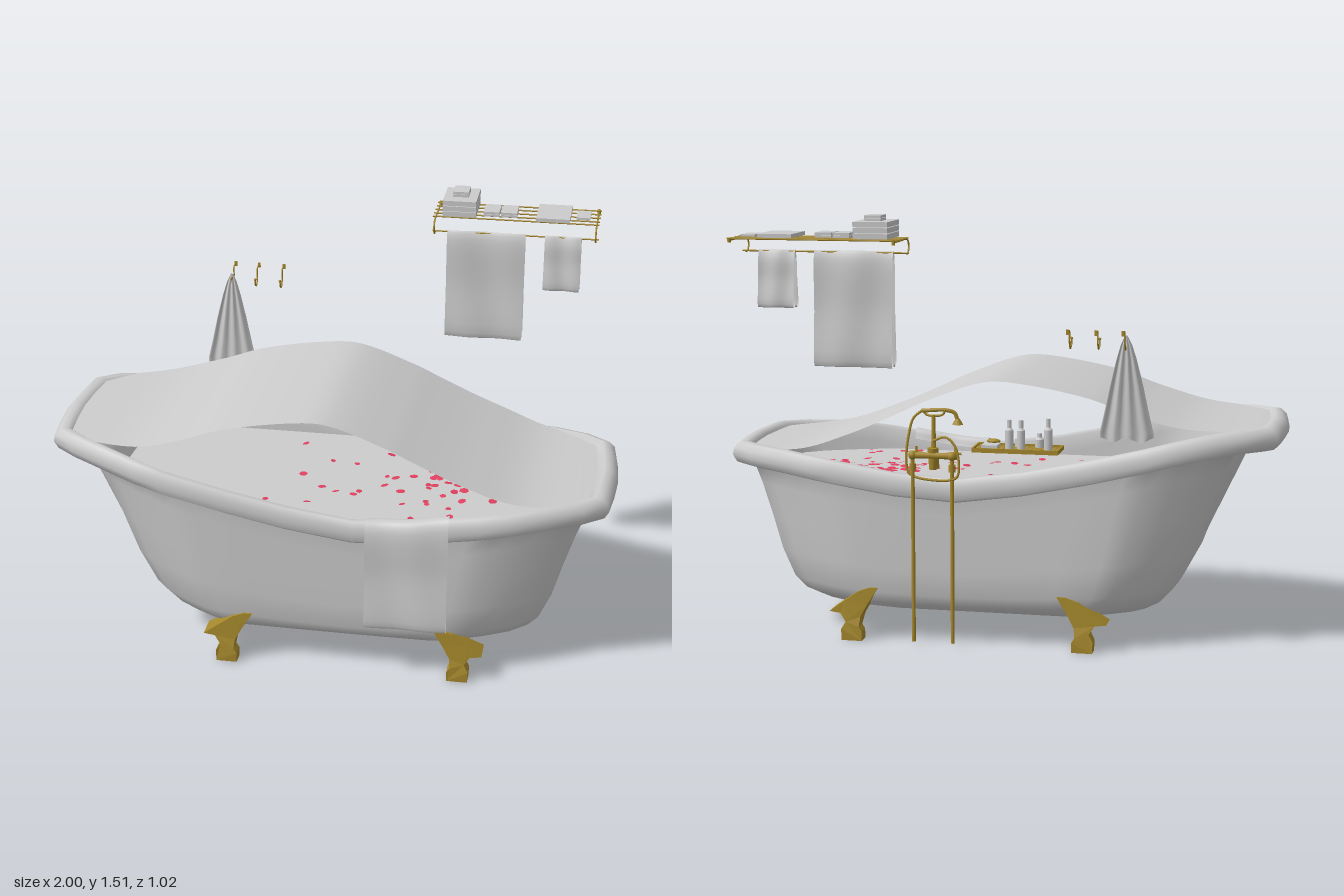
import * as THREE from 'three';
import { mergeGeometries } from 'three/addons/utils/BufferGeometryUtils.js';

const ZC = 0.07; // tub centre line

// Smooth interpolation of y over a table of [x, y] points
function interp(tab, x) {
  const n = tab.length;
  x = Math.min(Math.max(x, tab[0][0]), tab[n - 1][0]);
  let i = 0;
  while (i < n - 2 && x > tab[i + 1][0]) i++;
  const slope = k => {
    const a = tab[Math.max(k - 1, 0)], b = tab[Math.min(k + 1, n - 1)];
    return (b[1] - a[1]) / (b[0] - a[0]);
  };
  const h = tab[i + 1][0] - tab[i][0], t = (x - tab[i][0]) / h, t2 = t * t, t3 = t2 * t;
  return (2 * t3 - 3 * t2 + 1) * tab[i][1] + (t3 - 2 * t2 + t) * h * slope(i)
    + (3 * t2 - 2 * t3) * tab[i + 1][1] + (t3 - t2) * h * slope(i + 1);
}

// Height of the rolled rim along x, and height of the sheet over the tub
const rimTop = x => interp([[-1, 0.782], [-0.9, 0.78], [-0.7, 0.75], [-0.4, 0.68], [0, 0.604], [0.15, 0.592],
  [0.3, 0.6], [0.5, 0.63], [0.8, 0.663], [1, 0.67]], x);
const sheetTop = x => interp([[-0.95, 0.77], [-0.68, 0.785], [-0.5, 0.83], [-0.34, 0.885], [-0.1, 0.928], [0.03, 0.928],
  [0.235, 0.855], [0.33, 0.81], [0.5, 0.735], [0.7, 0.668], [0.95, 0.65]], x);

// Tub plan: one quarter mirrored into a closed outline
const Q = [[1, 0], [0.993, 0.3], [0.98, 0.58], [0.9, 0.73], [0.78, 0.86], [0.66, 0.96], [0.56, 1], [0.35, 1], [0.12, 1]];
const mirror = (sx, sz) => Q.map(([x, z]) => [x * sx, z * sz]);
const OUTLINE = [...mirror(1, 1), ...mirror(-1, 1).reverse(),
  ...mirror(-1, -1).slice(1), ...mirror(1, -1).reverse().slice(0, -1)];
const ring = (left, right, zh, yOf) => OUTLINE.map(([u, w]) =>
  [u * (u < 0 ? left : right), yOf(u), ZC + w * zh]);

// Skin a list of closed rings
function loft(rings) {
  const n = rings[0].length, idx = [];
  for (let i = 0; i < rings.length - 1; i++) for (let j = 0; j < n; j++) {
    const a = i * n + j, b = i * n + (j + 1) % n;
    idx.push(a, a + n, b, b, a + n, b + n);
  }
  const g = new THREE.BufferGeometry();
  g.setAttribute('position', new THREE.Float32BufferAttribute(rings.flat(2), 3));
  g.setIndex(idx);
  g.computeVertexNormals();
  return g;
}

export function createModel() {
  const model = new THREE.Group();
  const mat = (name, color, side = THREE.FrontSide) => {
    const m = new THREE.MeshStandardMaterial({ color, side });
    m.name = name;
    return m;
  };
  const porcelain = mat('porcelain', 0xcccccc, THREE.DoubleSide);
  const linen = mat('linen', 0xcbcbcb, THREE.DoubleSide);
  const brass = mat('brass', 0xa5882c);
  const pink = mat('petal pink', 0xe0405f, THREE.DoubleSide);

  const add = (name, geo, m, parent = model) => {
    const mesh = new THREE.Mesh(geo, m);
    mesh.name = name;
    parent.add(mesh);
    return mesh;
  };
  const group = name => {
    const g = new THREE.Group();
    g.name = name;
    model.add(g);
    return g;
  };
  const box = (name, x0, x1, y0, y1, z0, z1, m, parent) =>
    add(name, new THREE.BoxGeometry(x1 - x0, y1 - y0, z1 - z0), m, parent)
      .position.set((x0 + x1) / 2, (y0 + y1) / 2, (z0 + z1) / 2);
  const cyl = (name, r0, r1, y0, y1, x, z, m, parent) =>
    add(name, new THREE.CylinderGeometry(r1, r0, y1 - y0, 12), m, parent).position.set(x, (y0 + y1) / 2, z);
  const ball = (name, r, x, y, z, parent) =>
    add(name, new THREE.SphereGeometry(r, 10, 8), brass, parent).position.set(x, y, z);
  const tube = (name, pts, r, parent, seg = 32) => add(name, new THREE.TubeGeometry(
    new THREE.CatmullRomCurve3(pts.map(p => new THREE.Vector3(...p)), false, 'centripetal'), seg, r, 8), brass, parent);

  // Tub shell: outside wall, rolled rim, inside wall
  const wall = [[0, 0.46, 0.6, 0.31], [0.02, 0.53, 0.68, 0.335], [0.07, 0.585, 0.73, 0.365], [0.16, 0.635, 0.77, 0.39],
    [0.36, 0.7, 0.815, 0.393], [0.6, 0.755, 0.85, 0.394], [0.85, 0.815, 0.89, 0.395], [1, 0.86, 0.92, 0.395]];
  const rimRings = [[0.95, 0.96, 0.4, -0.083], [0.985, 0.985, 0.407, -0.075], [1, 1, 0.41, -0.05], [0.995, 0.995, 0.408, -0.025],
    [0.975, 0.975, 0.398, -0.004], [0.95, 0.95, 0.385, 0], [0.93, 0.93, 0.373, -0.012], [0.88, 0.9, 0.37, -0.07]];
  const tub = group('bathtub');
  add('tubShell', loft([
    ...wall.map(([t, l, r, z]) => ring(l, r, z, u => 0.1 + t * (rimTop(u) - 0.175))),
    ...rimRings.map(([l, r, z, dy]) => ring(l, r, z, u => rimTop(u) + dy)),
    ring(0.7, 0.8, 0.365, () => 0.33), ring(0.6, 0.72, 0.35, () => 0.18), ring(0.01, 0.01, 0.01, () => 0.14),
  ]), porcelain, tub);
  add('tubBottom', loft([ring(0.001, 0.001, 0.001, () => 0.1), ring(0.46, 0.6, 0.31, () => 0.1)]), porcelain, tub);
  add('waterSurface', loft([ring(0.8, 0.87, 0.368, () => 0.55), ring(0.001, 0.001, 0.001, () => 0.55)]), porcelain, tub);

  // Curved sheet arching over the tub
  const sheet = new THREE.PlaneGeometry(1.9, 2, 64, 1), sp = sheet.attributes.position;
  for (let i = 0; i < sp.count; i++) {
    const x = sp.getX(i);
    const h = interp([[0, 0.366], [0.56, 0.366], [0.66, 0.35], [0.9, 0.27], [0.95, 0.22]], Math.abs(x));
    sp.setXYZ(i, x, sheetTop(x), ZC - sp.getY(i) * h);
  }
  sheet.computeVertexNormals();
  add('archedSheet', sheet, porcelain);

  // Petals floating on the water
  let seed = 7;
  const rnd = () => (seed = (seed * 16807) % 2147483647) / 2147483647;
  const petals = [];
  for (let i = 0; i < 150; i++) {
    const dense = i < 110;
    const x = dense ? 0.33 + rnd() * 0.42 : -0.25 + rnd() * 0.95;
    const z = dense ? -0.25 + rnd() * 0.36 : -0.22 + rnd() * 0.6;
    petals.push(new THREE.CircleGeometry(0.011 + rnd() * 0.009, 7).scale(1, 0.8, 1)
      .rotateX(-Math.PI / 2 + (rnd() - 0.5) * 0.5).rotateY(rnd() * 6).translate(x, 0.558, z));
  }
  add('petals', mergeGeometries(petals), pink);

  // Four flared feet, shaped to hug the tub's lower edge
  const legPts = [[-0.368, 0], [-0.295, 0], [-0.295, 0.035], [-0.306, 0.05], [-0.302, 0.085], [-0.28, 0.125], [-0.24, 0.19],
    [-0.27, 0.19], [-0.31, 0.175], [-0.36, 0.14], [-0.415, 0.1], [-0.375, 0.095], [-0.355, 0.065], [-0.37, 0.04]];
  for (const right of [false, true]) for (const back of [false, true]) {
    const pts = legPts.map(([x, y]) => new THREE.Vector2(right ? 0.16 - x : x, y));
    const g = new THREE.ExtrudeGeometry(new THREE.Shape(pts), { depth: 1, bevelEnabled: false });
    const p = g.attributes.position;
    for (let i = 0; i < p.count; i++) {
      const outer = (p.getZ(i) > 0.5) !== back, y = p.getY(i);
      const z = outer ? interp([[0, 0.485], [0.04, 0.485], [0.08, 0.475], [0.19, 0.467]], y)
        : interp([[0, 0.435], [0.04, 0.437], [0.065, 0.428], [0.085, 0.405], [0.1, 0.385], [0.19, 0.455]], y);
      p.setZ(i, back ? 2 * ZC - z : z);
    }
    g.computeVertexNormals();
    add((back ? 'back' : 'front') + (right ? 'Left' : 'Right') + 'Foot', g, brass, tub);
  }

  // Cloth strip following a (z, y) path across x0..x1
  const cloth = (name, x0, x1, path, wave, lift = () => 0) => {
    const curve = new THREE.CatmullRomCurve3(path.map(([z, y]) => new THREE.Vector3(0, y, z)), false, 'centripetal');
    const g = new THREE.PlaneGeometry(1, 1, 14, 64), p = g.attributes.position;
    for (let i = 0; i < p.count; i++) {
      const u = p.getX(i) + 0.5, q = curve.getPoint(0.5 - p.getY(i)), x = x0 + u * (x1 - x0);
      p.setXYZ(i, x, q.y + lift(x, q.y), q.z + wave * Math.sin(u * 9 + q.y * 5));
    }
    g.computeVertexNormals();
    return add(name, g, linen);
  };
  cloth('drapedTowel', 0.165, 0.45, [[0.43, 0.57], [0.445, 0.602], [0.475, 0.602], [0.495, 0.57], [0.499, 0.4], [0.506, 0.203],
    [0.492, 0.203], [0.487, 0.4], [0.483, 0.55]], 0.003, (x, y) => (rimTop(x) - 0.597) * Math.max(0, (y - 0.2) / 0.4));
  // Folded cloth over a bar: outer skin and the inner skin of both panels
  const fold = (y0, y1) => {
    const ym = (y0 + y1) / 2;
    return [[-0.32, y1 - 0.03], [-0.322, ym], [-0.319, y0], [-0.304, y0], [-0.312, ym], [-0.317, y1 - 0.03], [-0.33, y1],
      [-0.343, y1 - 0.03], [-0.348, ym], [-0.357, y0], [-0.341, y0], [-0.338, ym], [-0.34, y1 - 0.03]];
  };
  cloth('largeTowel', 0.33, 0.61, fold(0.98, 1.378), 0.004);
  cloth('smallTowel', 0.68, 0.81, fold(1.18, 1.378), 0.003);

  // Towel rack
  const rack = group('towelRack');
  for (const x of [0.285, 0.86]) {
    tube('rackSide', [[x, 1.42, -0.5], [x, 1.42, -0.4], [x, 1.42, -0.325], [x, 1.412, -0.303], [x, 1.39, -0.294],
      [x, 1.37, -0.308], [x, 1.37, -0.335]], 0.003, rack);
    cyl('wallMount', 0.006, 0.006, 1.412, 1.428, x, -0.497, brass, rack);
  }
  for (const [y, z] of [[1.425, -0.49], [1.425, -0.45], [1.425, -0.41], [1.425, -0.37], [1.425, -0.335], [1.372, -0.33]])
    tube('rackBar', [[0.275, y, z], [0.87, y, z]], 0.0028, rack, 1);
  for (let i = 0; i < 3; i++) box('foldedTowel', 0.31, 0.43, 1.429 + i * 0.02, 1.447 + i * 0.02, -0.485, -0.328, linen, rack);
  for (let i = 0; i < 2; i++) box('foldedCloth', 0.342, 0.398, 1.488 + i * 0.01, 1.497 + i * 0.01, -0.45, -0.375, linen, rack);
  for (const x of [0.455, 0.518]) for (const y of [1.429, 1.438])
    box('handCloth', x, x + 0.057, y, y + 0.008, -0.44, -0.352, linen, rack);
  box('flatTowel', 0.645, 0.765, 1.429, 1.442, -0.485, -0.325, linen, rack);
  box('flatCloth', 0.785, 0.835, 1.429, 1.437, -0.45, -0.37, linen, rack);

  // Wall hooks
  for (const x of [-0.49, -0.4, -0.305]) {
    const hook = group('wallHook');
    box('hookPlate', x - 0.005, x + 0.005, 1.126, 1.144, -0.503, -0.498, brass, hook);
    tube('hookArm', [[x, 1.135, -0.5], [x, 1.135, -0.466], [x, 1.1, -0.463], [x, 1.075, -0.445], [x, 1.085, -0.425],
      [x, 1.104, -0.421]], 0.0028, hook);
    ball('hookTip', 0.005, x, 1.106, -0.421, hook);
  }

  // Pleated towel hanging from the first hook
  const pleats = [];
  for (const [y, w, d, z] of [[0.765, 0.09, 0.011, -0.403], [0.79, 0.09, 0.011, -0.404], [0.86, 0.074, 0.011, -0.407],
    [0.95, 0.055, 0.011, -0.412], [1.04, 0.033, 0.01, -0.418], [1.09, 0.018, 0.008, -0.424], [1.12, 0.004, 0.003, -0.43]]) {
    const r = [];
    for (let k = 0; k < 48; k++) {
      const a = k / 48 * Math.PI * 2, c = Math.cos(a);
      r.push([-0.49 + w * c, y + (y < 0.77 ? 0.008 * Math.cos(c * 6) : 0), z + d * (0.6 * Math.sin(a) + 0.6 * Math.sin(c * 11))]);
    }
    pleats.push(r);
  }
  add('hangingTowel', loft(pleats), linen);

  // Wire shelf with toiletries
  const shelf = group('wireShelf');
  for (let i = 0; i <= 18; i++) tube('crossWire', [[-0.27 + i * 0.0161, 0.727, -0.38], [-0.27 + i * 0.0161, 0.727, -0.49]], 0.0028, shelf, 1);
  for (let i = 0; i <= 7; i++) tube('longWire', [[-0.27, 0.727, -0.38 - i * 0.0157], [0.02, 0.727, -0.38 - i * 0.0157]], 0.0028, shelf, 1);
  for (const z of [-0.38, -0.49]) box('shelfRail', -0.272, 0.022, 0.72, 0.735, z - 0.003, z + 0.003, brass, shelf);
  for (const x of [-0.27, 0.02]) box('shelfEnd', x - 0.003, x + 0.003, 0.72, 0.735, -0.49, -0.38, brass, shelf);
  for (const [x, z, r, h] of [[-0.233, -0.455, 0.015, 0.068], [-0.14, -0.455, 0.014, 0.062], [-0.1, -0.455, 0.014, 0.062],
    [-0.195, -0.41, 0.015, 0.026], [-0.125, -0.41, 0.014, 0.026]]) {
    cyl('bottle', r, r, 0.731, 0.732 + h, x, z, linen, shelf);
    cyl('bottleNeck', r, 0.007, 0.732 + h, 0.74 + h, x, z, linen, shelf);
    cyl('bottleCap', 0.008, 0.008, 0.74 + h, 0.742 + h * 1.4, x, z, linen, shelf);
  }
  box('soapCloth', -0.06, -0.005, 0.731, 0.741, -0.465, -0.405, linen, shelf);
  add('soapDish', new THREE.SphereGeometry(0.02, 12, 8).scale(1.2, 0.4, 0.8), brass, shelf).position.set(-0.035, 0.745, -0.4);

  // Standing taps with hand shower
  const taps = group('taps');
  for (const x of [0.125, 0.265]) {
    cyl('supplyPipe', 0.007, 0.007, 0.01, 0.66, x, -0.342, brass, taps);
    cyl('pipeCollar', 0.012, 0.012, 0.62, 0.645, x, -0.342, brass, taps);
    ball('tapValve', 0.016, x, 0.675, -0.342, taps);
    tube('tapStem', [[x, 0.675, -0.35], [x, 0.675, -0.285]], 0.008, taps, 1);
    tube('tapHandle', [[x - 0.022, 0.675, -0.288], [x + 0.022, 0.675, -0.288]], 0.005, taps, 1);
    tube('tapHandle', [[x, 0.653, -0.288], [x, 0.697, -0.288]], 0.005, taps, 1);
  }
  tube('mixerBar', [[0.115, 0.675, -0.342], [0.275, 0.675, -0.342]], 0.011, taps, 1);
  cyl('mixerBody', 0.014, 0.02, 0.625, 0.7, 0.195, -0.33, brass, taps);
  cyl('cradlePost', 0.009, 0.006, 0.7, 0.815, 0.195, -0.32, brass, taps);
  tube('spout', [[0.195, 0.66, -0.335], [0.195, 0.67, -0.3], [0.195, 0.645, -0.283], [0.195, 0.62, -0.28]], 0.01, taps);
  tube('cradle', [[0.155, 0.832, -0.31], [0.165, 0.815, -0.31], [0.195, 0.81, -0.315], [0.225, 0.815, -0.31],
    [0.235, 0.832, -0.31]], 0.004, taps);
  tube('handset', [[0.115, 0.795, -0.3], [0.125, 0.82, -0.3], [0.155, 0.83, -0.305], [0.24, 0.826, -0.31]], 0.007, taps);
  cyl('showerHead', 0.019, 0.008, 0.78, 0.8, 0.114, -0.3, brass, taps);
  tube('showerHose', [[0.24, 0.826, -0.31], [0.268, 0.8, -0.315], [0.283, 0.74, -0.325], [0.29, 0.67, -0.33],
    [0.28, 0.61, -0.335], [0.2, 0.59, -0.345], [0.11, 0.6, -0.345], [0.1, 0.64, -0.345], [0.115, 0.71, -0.34],
    [0.15, 0.74, -0.335], [0.195, 0.725, -0.33]], 0.0045, taps, 64);
  return model;
}
